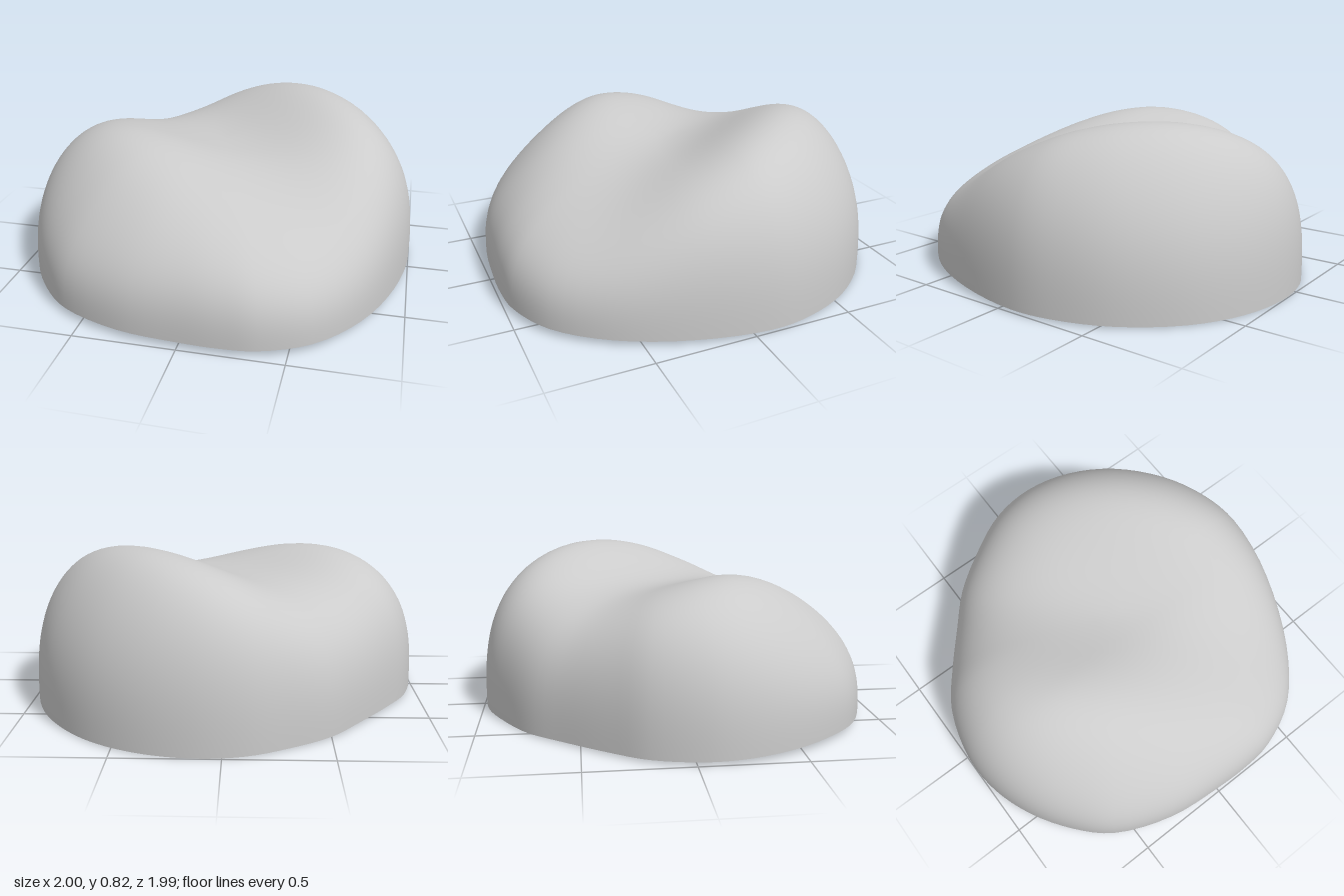
import * as THREE from 'three';

const SEGMENTS = 96, RINGS = 40;

// Plan outline of the open rim, as x, z pairs
const OUTLINE = [
  [1, -0.08], [0.97, -0.3], [0.86, -0.56], [0.65, -0.8], [0.4, -0.94], [0.13, -0.995],
  [-0.1, -0.97], [-0.3, -0.88], [-0.5, -0.75], [-0.65, -0.58], [-0.81, -0.38], [-0.93, -0.2],
  [-0.995, 0.05], [-0.98, 0.25], [-0.9, 0.47], [-0.76, 0.68], [-0.6, 0.83], [-0.3, 0.95],
  [0, 0.985], [0.2, 0.99], [0.37, 0.97], [0.6, 0.86], [0.8, 0.62], [0.94, 0.28],
];

const bell = (d, width) => Math.exp(-0.5 * (d / width) ** 2);

// Height of the top: two rounded lobes with a diagonal saddle, sloping to the front
function crownHeight(x, z) {
  const across = (x - z) * Math.SQRT1_2, along = (x + z) * Math.SQRT1_2;
  const highLobe = 0.3 * bell(across - 0.66, 0.33) * bell(along, 0.9);
  const lowLobe = 0.2 * bell(across + 0.55, 0.33) * bell(along + 0.2, 0.9);
  return 0.56 + highLobe + lowLobe - 0.16 * THREE.MathUtils.smoothstep(z, 0.15, 1);
}

// Smooth shell: the outline shrunk in rings, raised by a rounded wall profile
function shellGeometry() {
  const curve = new THREE.CatmullRomCurve3(
    OUTLINE.map(([x, z]) => new THREE.Vector3(x, 0, z)), true);
  const positions = [0, crownHeight(0, 0), 0];
  const indices = [];
  for (let i = 1; i <= RINGS; i++) {
    const r = 1 - (1 - i / RINGS) ** 3;
    const rise = (1 - r ** 4) ** 0.35;
    for (let j = 0; j < SEGMENTS; j++) {
      const p = curve.getPoint(j / SEGMENTS).multiplyScalar(r);
      const rim = 0.018 + 0.016 * p.z;
      positions.push(p.x, rim + (crownHeight(p.x, p.z) - rim) * rise, p.z);
    }
  }
  for (let j = 0; j < SEGMENTS; j++) {
    const k = (j + 1) % SEGMENTS;
    indices.push(0, 1 + j, 1 + k);
    for (let i = 0; i < RINGS - 1; i++) {
      const a = 1 + i * SEGMENTS, b = a + SEGMENTS;
      indices.push(a + j, b + j, b + k, a + j, b + k, a + k);
    }
  }
  // Turn the faces outward when the outline runs the other way round
  const [, , , x1, , z1, x2, , z2] = positions;
  if (z1 * x2 - x1 * z2 < 0) indices.reverse();
  const geometry = new THREE.BufferGeometry();
  geometry.setAttribute('position', new THREE.Float32BufferAttribute(positions, 3));
  geometry.setIndex(indices);
  geometry.computeVertexNormals();
  return geometry;
}

export function createModel() {
  const model = new THREE.Group();
  model.name = 'hollowCrown';
  const material = new THREE.MeshStandardMaterial({ color: 0xcccccc, side: THREE.DoubleSide });
  const shell = new THREE.Mesh(shellGeometry(), material);
  shell.name = 'crownShell';
  model.add(shell);
  return model;
}
